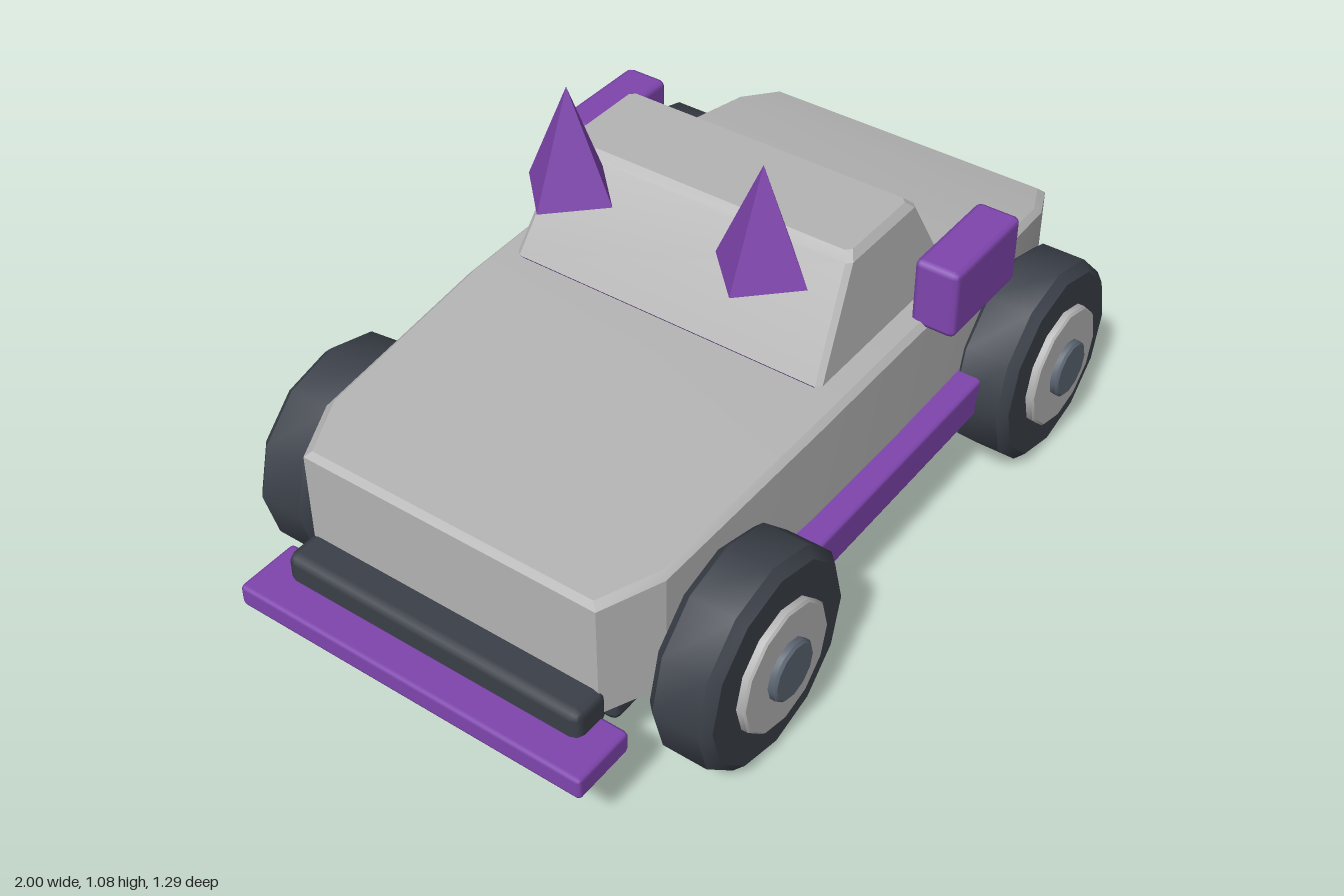
import * as THREE from 'three';
import { toCreasedNormals } from 'three/addons/utils/BufferGeometryUtils.js';
import { RoundedBoxGeometry } from 'three/addons/geometries/RoundedBoxGeometry.js';

const mat = (name, color) => {
  const m = new THREE.MeshStandardMaterial({ color });
  m.name = name;
  return m;
};

// Stacks rings of [x, y, halfZ] stations from bottom to top, capped at both ends.
// Group 0 is the shell, group 1 the underside with its lower bevel.
function stack(levels) {
  const shell = [], under = [];
  const quad = (out, a, b, c, d) => out.push(...a, ...b, ...c, ...a, ...c, ...d);
  const ring = (level) => [
    ...level.map(([x, y, z]) => [x, y, z]),
    ...level.map(([x, y, z]) => [x, y, -z]).reverse(),
  ];
  const rings = levels.map(ring);
  const n = rings[0].length;
  for (let k = 0; k < rings.length - 1; k++) {
    for (let i = 0; i < n; i++) {
      const j = (i + 1) % n;
      quad(k === 0 ? under : shell, rings[k][i], rings[k][j], rings[k + 1][j], rings[k + 1][i]);
    }
  }
  const lo = rings[0], hi = rings[rings.length - 1];
  for (let i = 0; i < n / 2 - 1; i++) {
    quad(shell, hi[i], hi[i + 1], hi[n - 2 - i], hi[n - 1 - i]);
    quad(under, lo[n - 1 - i], lo[n - 2 - i], lo[i + 1], lo[i]);
  }
  const g = new THREE.BufferGeometry();
  g.setAttribute('position', new THREE.Float32BufferAttribute([...shell, ...under], 3));
  g.computeVertexNormals();
  const out = toCreasedNormals(g, 0.35);
  out.clearGroups();
  out.addGroup(0, shell.length / 3, 0);
  out.addGroup(shell.length / 3, under.length / 3, 1);
  return out;
}

// Twelve-sided disc with bevelled rims, its axis along z
function disc(radius, z0, z1, bevel) {
  const points = [
    [0, z0], [radius - bevel, z0], [radius, z0 + bevel],
    [radius, z1 - bevel], [radius - bevel, z1], [0, z1],
  ].map(([r, y]) => new THREE.Vector2(r, y));
  return toCreasedNormals(new THREE.LatheGeometry(points, 12).rotateX(Math.PI / 2), 0.6);
}

export function createModel() {
  const car = new THREE.Group();
  car.name = 'car';
  const grey = mat('light grey', 0xb4b4b4);
  const dark = mat('dark rubber', 0x3b4049);
  const steel = mat('hub steel', 0x5b6571);
  const purple = mat('purple', 0x7f45ae);

  const add = (name, geometry, material, parent = car) => {
    const mesh = new THREE.Mesh(geometry, material);
    mesh.name = name;
    parent.add(mesh);
    return mesh;
  };
  // Bevelled box given by its limits on each axis
  const box = (name, [x0, x1], [y0, y1], [z0, z1], bevel, material) =>
    add(name, new RoundedBoxGeometry(x1 - x0, y1 - y0, z1 - z0, 1, bevel), material)
      .position.set((x0 + x1) / 2, (y0 + y1) / 2, (z0 + z1) / 2);

  // Body: plan stations of x, deck height and half width
  const stations = [
    [-0.84, 0.53, 0.38], [-0.7, 0.54, 0.445], [-0.2, 0.576, 0.47], [0.1, 0.582, 0.473],
    [0.4, 0.575, 0.47], [0.5, 0.569, 0.466], [0.82, 0.53, 0.437], [0.93, 0.508, 0.39],
  ];
  const bodyLevel = (inset, height) =>
    stations.map(([x, top, z]) => [x * (1 - inset / 0.88), height(top), z - inset]);
  add('body', stack([
    bodyLevel(0.014, () => 0.217),
    bodyLevel(0, () => 0.231),
    bodyLevel(0, (top) => top - 0.014),
    bodyLevel(0.014, (top) => top),
  ]), [grey, purple]);

  // Cabin: tapered, with bevelled corners
  const cabinLevel = (y, x0, x1, z, b = 0.012) =>
    [[x0, y, z - b], [x0 + b, y, z], [x1 - b, y, z], [x1, y, z - b]];
  add('cabin', stack([
    cabinLevel(0.576, -0.1, 0.41, 0.4),
    cabinLevel(0.588, -0.11, 0.42, 0.41),
    cabinLevel(0.815, 0.03, 0.3, 0.385),
    cabinLevel(0.832, 0.05, 0.282, 0.37),
  ]), [grey, purple]);

  // Underbody, bumpers and rear lip
  box('chassis', [-0.78, 0.86], [0.14, 0.225], [-0.375, 0.375], 0.02, dark);
  box('frontBumper', [0.9, 0.995], [0.2, 0.295], [-0.385, 0.385], 0.022, dark);
  box('rearBumper', [-0.92, -0.82], [0.2, 0.297], [-0.39, 0.39], 0.022, dark);
  box('rearLip', [-1, -0.84], [0.175, 0.231], [-0.455, 0.455], 0.01, purple);

  for (const side of [1, -1]) {
    const span = (a, b) => (side > 0 ? [a, b] : [-b, -a]);
    box('sideSkirt', [-0.31, 0.41], [0.23, 0.327], span(0.44, 0.53), 0.01, purple);
    box('sidePod', [0.22, 0.497], [0.563, 0.735], span(0.43, 0.54), 0.015, purple);

    // Four-sided roof spikes
    add('spike', new THREE.ConeGeometry(0.115, 0.262, 4, 1).toNonIndexed(), purple)
      .position.set(-0.1, 0.953, side * 0.25);
    car.children[car.children.length - 1].geometry.computeVertexNormals();

    // Wheels
    for (const x of [-0.54, 0.635]) {
      const wheel = new THREE.Group();
      wheel.name = 'wheel';
      wheel.position.set(x, 0.257, 0);
      wheel.rotation.y = side > 0 ? 0 : Math.PI;
      add('tyre', disc(0.254, 0.455, 0.607, 0.022), dark, wheel);
      add('rim', disc(0.152, 0.59, 0.627, 0.005), grey, wheel);
      add('hubCap', disc(0.071, 0.61, 0.646, 0.006), steel, wheel);
      car.add(wheel);
    }
  }
  return car;
}
